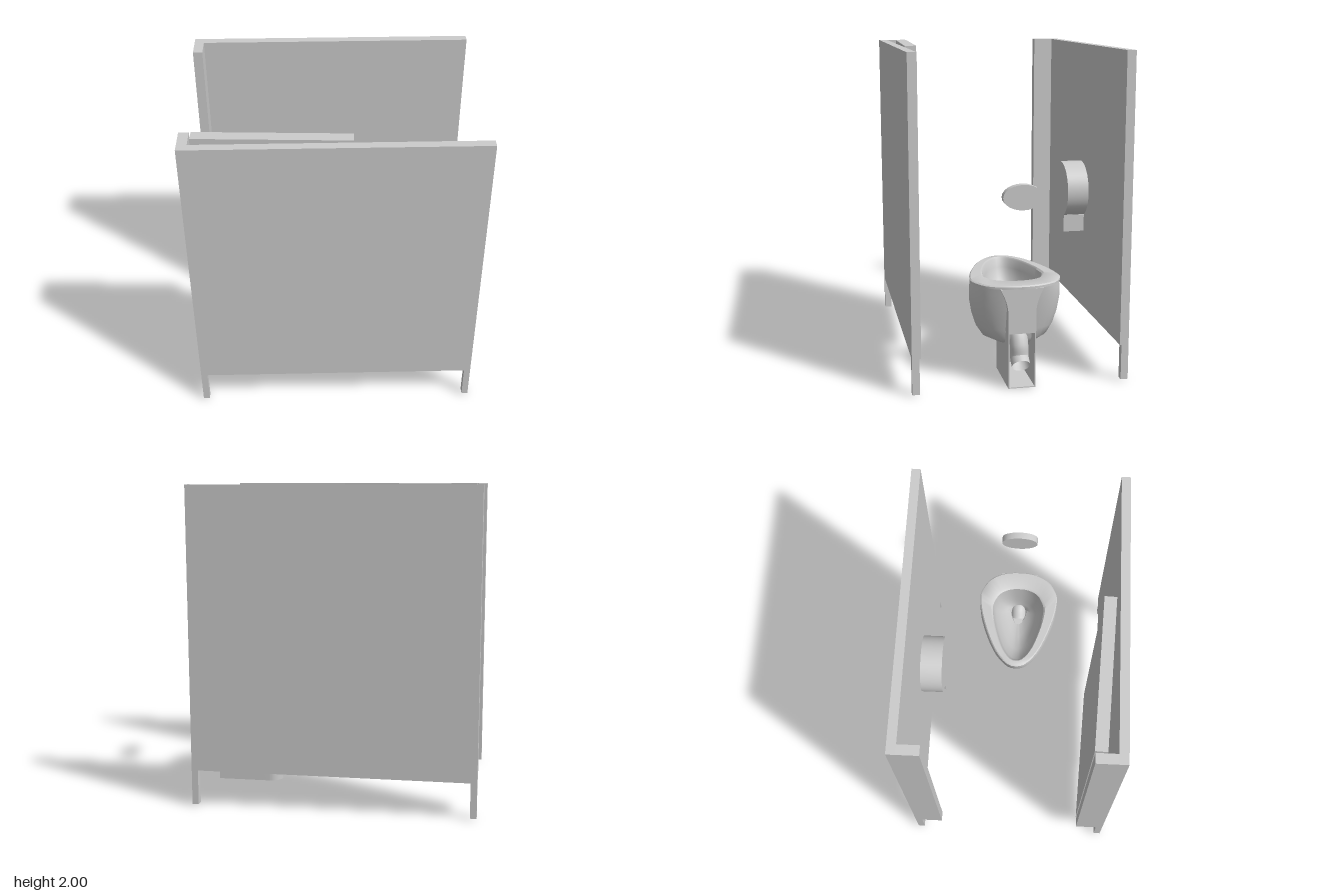
import * as THREE from 'three';
import { toCreasedNormals } from 'three/addons/utils/BufferGeometryUtils.js';

const grey = new THREE.MeshStandardMaterial({ color: 0xcccccc });
const greyOpen = new THREE.MeshStandardMaterial({ color: 0xcccccc, side: THREE.DoubleSide });

function add(parent, name, geometry, material = grey) {
  const mesh = new THREE.Mesh(geometry, material);
  mesh.name = name;
  parent.add(mesh);
  return mesh;
}

// Box given by its limits on each axis
function block(parent, name, x0, x1, y0, y1, z0, z1) {
  const mesh = add(parent, name, new THREE.BoxGeometry(x1 - x0, y1 - y0, z1 - z0));
  mesh.position.set((x0 + x1) / 2, (y0 + y1) / 2, (z0 + z1) / 2);
  return mesh;
}

// Egg-shaped outline: u runs front to back, w is the relative half width
function eggOutline(count) {
  const half = [[0.02, 0.21], [0.1, 0.43], [0.2, 0.6], [0.37, 0.79], [0.54, 0.93], [0.64, 0.98],
    [0.74, 1], [0.83, 0.91], [0.91, 0.77], [0.97, 0.5], [0.995, 0.25]];
  const pts = [[0, 0], ...half, [1, 0], ...half.slice().reverse().map(([u, w]) => [u, -w])];
  const curve = new THREE.CatmullRomCurve3(pts.map(([u, w]) => new THREE.Vector3(u, 0, w)), true);
  return curve.getPoints(count).slice(0, count);
}

// Skin over egg-shaped sections [y, frontX, backX, halfWidth], capped at both ends
function eggLoft(sections, count = 48) {
  const outline = eggOutline(count);
  const pos = [], index = [];
  for (const [y, x0, x1, hw] of sections) {
    for (const p of outline) pos.push(x0 + p.x * (x1 - x0), y, p.z * hw);
  }
  for (let r = 0; r < sections.length - 1; r++) {
    for (let i = 0; i < count; i++) {
      const a = r * count + i, b = r * count + (i + 1) % count;
      index.push(a, b, a + count, b, b + count, a + count);
    }
  }
  const last = sections.length - 1;
  [[0, false], [last, true]].forEach(([r, up]) => {
    const [y, x0, x1] = sections[r];
    const centre = pos.length / 3;
    pos.push((x0 + x1) / 2, y, 0);
    for (let i = 0; i < count; i++) {
      const a = r * count + i, b = r * count + (i + 1) % count;
      if (up) index.push(a, b, centre);
      else index.push(b, a, centre);
    }
  });
  const g = new THREE.BufferGeometry();
  g.setAttribute('position', new THREE.Float32BufferAttribute(pos, 3));
  g.setIndex(index);
  return toCreasedNormals(g, 0.7);
}

function buildPartitions(root) {
  for (const s of [1, -1]) {
    const side = new THREE.Group();
    side.name = s > 0 ? 'leftPartition' : 'rightPartition';
    root.add(side);
    const wall = (name, x0, x1, y0, y1, za, zb) =>
      block(side, name, x0, x1, y0, y1, Math.min(s * za, s * zb), Math.max(s * za, s * zb));
    wall('panel', -0.89, 0.885, 0.23, 2, 0.605, 0.66);
    wall('doorPost', -0.89, -0.83, 0.23, 2, 0.475, 0.605);
    wall('leg', -0.89, -0.85, 0.01, 0.23, 0.615, 0.66);
    wall('leg', 0.845, 0.885, 0.01, 0.23, 0.615, 0.66);
  }
  // Door swung open against the partition
  const door = add(root, 'door', new THREE.BoxGeometry(0.92, 1.77, 0.073));
  door.position.set(-0.362, 1.115, 0.5285);
  door.rotation.y = -0.0435;
}

function buildDispenser(root) {
  const dispenser = new THREE.Group();
  dispenser.name = 'paperDispenser';
  root.add(dispenser);
  const drum = add(dispenser, 'drum', new THREE.CylinderGeometry(0.185, 0.185, 0.14, 48));
  drum.rotation.x = Math.PI / 2;
  drum.position.set(-0.005, 1.035, -0.535);
  block(dispenser, 'outletCollar', -0.095, 0.085, 0.85, 0.87, -0.605, -0.465);
  block(dispenser, 'outlet', -0.085, 0.075, 0.755, 0.85, -0.605, -0.465);
}

function buildToilet(root) {
  const toilet = new THREE.Group();
  toilet.name = 'toilet';
  root.add(toilet);

  // Outer belly, rim, then the basin down to the drain
  add(toilet, 'bowl', eggLoft([
    [0.235, 0.47, 0.76, 0.07], [0.25, 0.42, 0.78, 0.13], [0.28, 0.35, 0.79, 0.2],
    [0.34, 0.27, 0.805, 0.24], [0.42, 0.215, 0.825, 0.266], [0.5, 0.18, 0.845, 0.279],
    [0.57, 0.165, 0.86, 0.278], [0.612, 0.165, 0.87, 0.27], [0.615, 0.152, 0.88, 0.277],
    [0.628, 0.15, 0.88, 0.278], [0.635, 0.16, 0.873, 0.27],
    [0.635, 0.19, 0.765, 0.195], [0.625, 0.2, 0.75, 0.183], [0.57, 0.21, 0.75, 0.178],
    [0.49, 0.26, 0.75, 0.16], [0.42, 0.36, 0.75, 0.125], [0.37, 0.48, 0.748, 0.09],
    [0.345, 0.59, 0.745, 0.06], [0.26, 0.62, 0.735, 0.045],
  ]));

  // Flared neck joining the bowl to the wall
  const neck = new THREE.Shape();
  neck.moveTo(-0.085, 0.34);
  neck.lineTo(0.085, 0.34);
  neck.lineTo(0.085, 0.48);
  neck.quadraticCurveTo(0.09, 0.54, 0.13, 0.615);
  neck.lineTo(-0.13, 0.615);
  neck.quadraticCurveTo(-0.09, 0.54, -0.085, 0.48);
  const neckGeo = new THREE.ExtrudeGeometry(neck, { depth: 0.1, bevelEnabled: false });
  neckGeo.rotateY(Math.PI / 2);
  neckGeo.translate(0.775, 0, 0);
  add(toilet, 'neck', toCreasedNormals(neckGeo, 0.5));

  // Pedestal: thin wall with a rounded front, open at the back
  const foot = (r, wall) => {
    const shape = new THREE.Shape();
    shape.moveTo(0.875, -0.083);
    shape.lineTo(0.875, 0.083);
    shape.lineTo(0.528, 0.083);
    shape.absarc(0.528, 0, 0.083, Math.PI / 2, Math.PI * 1.5, false);
    if (wall) {
      shape.lineTo(0.875, -0.083);
      shape.lineTo(0.875, -r);
      shape.lineTo(0.528, -r);
      shape.absarc(0.528, 0, r, Math.PI * 1.5, Math.PI / 2, true);
      shape.lineTo(0.875, r);
      shape.lineTo(0.875, 0.083);
    }
    return shape;
  };
  const wallShape = foot(0.077, true);
  wallShape.curves.shift();
  const prism = (shape, height) => {
    const g = new THREE.ExtrudeGeometry(shape, { depth: height, bevelEnabled: false, curveSegments: 16 });
    g.rotateX(-Math.PI / 2);
    return toCreasedNormals(g, 0.5);
  };
  add(toilet, 'pedestalWall', prism(wallShape, 0.345), greyOpen);
  add(toilet, 'pedestalBase', prism(foot(0, false), 0.006));

  // Waste pipe inside the pedestal
  const path = new THREE.CatmullRomCurve3([
    new THREE.Vector3(0.68, 0.26, 0), new THREE.Vector3(0.75, 0.3, 0),
    new THREE.Vector3(0.79, 0.24, 0), new THREE.Vector3(0.8, 0.17, 0), new THREE.Vector3(0.85, 0.13, 0),
  ]);
  add(toilet, 'wastePipe', new THREE.TubeGeometry(path, 24, 0.056, 20), greyOpen);
}

export function createModel() {
  const root = new THREE.Group();
  root.name = 'toiletStall';
  buildPartitions(root);
  buildDispenser(root);
  buildToilet(root);

  // Oval flush button on the rear wall plane
  const button = add(root, 'flushButton', new THREE.CylinderGeometry(1, 1, 0.046, 24));
  button.rotation.z = Math.PI / 2;
  button.scale.set(0.075, 1, 0.12);
  button.position.set(0.864, 1.165, 0);
  return root;
}
